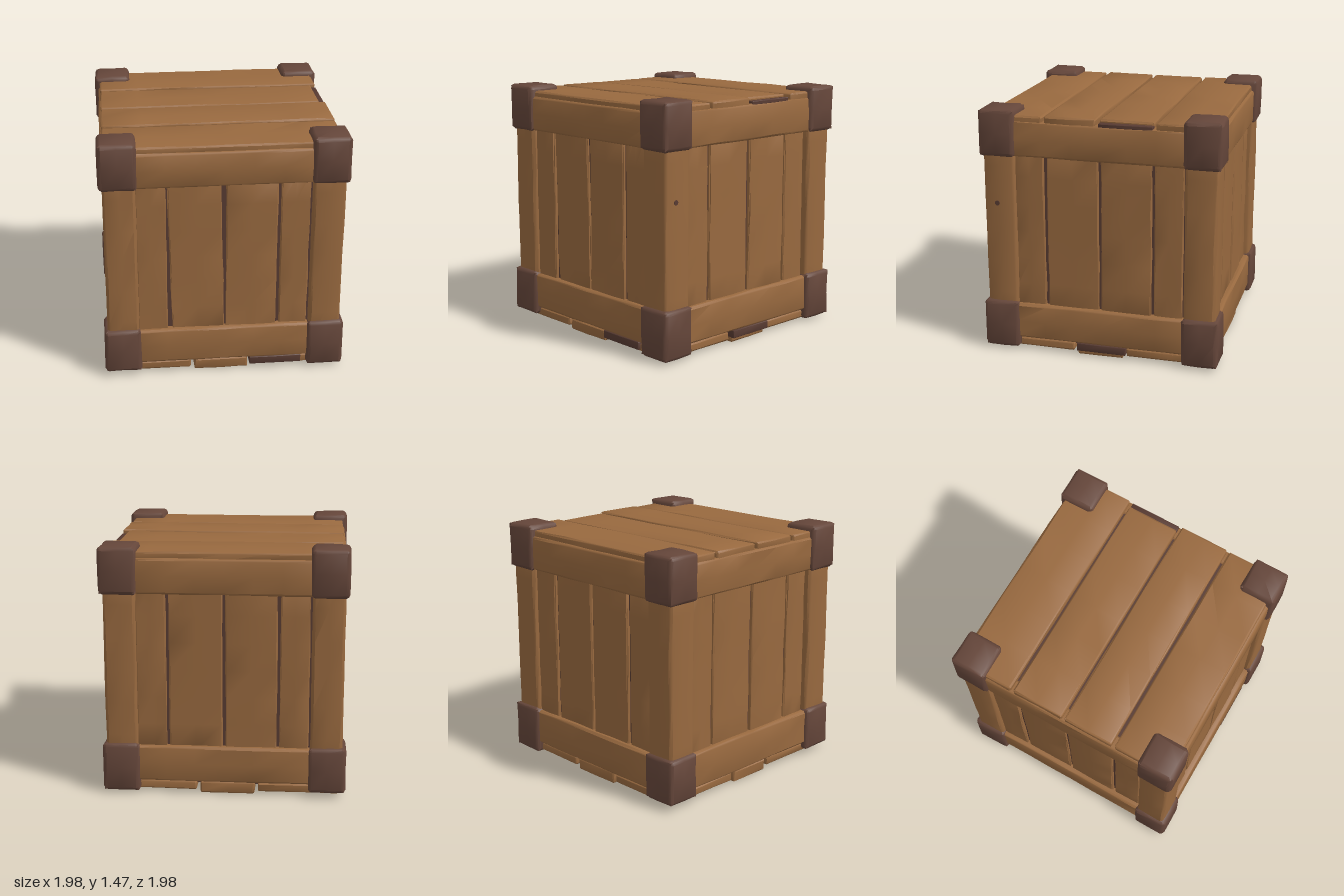
import * as THREE from 'three';
import { toCreasedNormals } from 'three/addons/utils/BufferGeometryUtils.js';

const mat = (name, color) => new THREE.MeshStandardMaterial({ name, color });

// Repeatable noise in -1..1 from a position, so shared corners move together.
const noise = (x, y, z, s) => {
  const v = Math.sin(x * 127.1 + y * 311.7 + z * 74.7 + s * 19.19) * 43758.5453;
  return (v - Math.floor(v)) * 2 - 1;
};

// Box with softened edges and slightly worn, uneven sides.
function wornBox(size, bevel, wear, seed) {
  const segs = size.map((s) => (s > 0.7 ? 8 : s > 0.15 ? 4 : 3));
  const geo = new THREE.BoxGeometry(1, 1, 1, ...segs);
  const pos = geo.attributes.position;
  for (let i = 0; i < pos.count; i++) {
    const grid = [0, 1, 2].map((a) => Math.round((pos.getComponent(i, a) + 0.5) * segs[a]));
    const ext = grid.map((g, a) => (g === 0 ? -1 : g === segs[a] ? 1 : 0));
    const onEdge = ext.filter((e) => e !== 0).length > 1;
    const p = grid.map((g, a) => {
      const h = size[a] / 2;
      if (ext[a]) return ext[a] * (h - (onEdge ? bevel * 0.35 : 0));
      return -h + bevel + ((g - 1) / Math.max(1, segs[a] - 2)) * (2 * h - 2 * bevel);
    });
    const n = noise(grid[0], grid[1], grid[2], seed);
    p.forEach((v, a) => {
      if (ext[a]) v -= ext[a] * wear * (0.5 + 0.5 * n);
      pos.setComponent(i, a, v);
    });
  }
  return toCreasedNormals(geo, 0.7);
}

export function createModel() {
  const wood = mat('brown wood', 0x98693f);
  const iron = mat('dark brown corner', 0x65463a);
  const shade = mat('dark gap', 0x583b32);

  const model = new THREE.Group();
  model.name = 'woodenCrate';
  const crate = new THREE.Group();
  crate.name = 'crateBody';
  crate.rotation.y = -0.705;
  model.add(crate);

  let seed = 1;
  // Adds a board given by its lower and upper limits on each axis.
  const board = (parent, name, material, x, y, z, bevel = 0.012, wear = 0.004) => {
    const axes = [x, y, z];
    const mesh = new THREE.Mesh(wornBox(axes.map(([a, b]) => b - a), bevel, wear, seed++), material);
    mesh.position.set(...axes.map(([a, b]) => (a + b) / 2));
    mesh.name = name;
    parent.add(mesh);
    return mesh;
  };

  // Dark core seen through the gaps
  const core = new THREE.Mesh(new THREE.BoxGeometry(1.28, 1.345, 1.28), shade);
  core.position.y = 0.7275;
  core.name = 'innerCore';
  crate.add(core);

  // Four sides: upright planks between a top and a bottom rail
  const seams = [-0.515, -0.325, 0.0, 0.315, 0.5];
  for (let k = 0; k < 4; k++) {
    const side = new THREE.Group();
    side.name = 'side' + (k + 1);
    side.rotation.y = (k * Math.PI) / 2;
    crate.add(side);
    for (let i = 0; i < 4; i++) {
      const plank = board(side, 'wallPlank', wood, [seams[i] + 0.006, seams[i + 1] - 0.006],
        [0.25, 1.25], [0.61, 0.664 - 0.004 * (i % 2)], 0.01, 0.006);
      // The second seam leans a little
      if (k === 0 && i === 1) plank.rotation.z = 0.02;
    }
    board(side, 'topRail', wood, [-0.52, 0.52], [1.2, 1.41], [0.6, 0.692], 0.015);
    board(side, 'bottomRail', wood, [-0.52, 0.52], [0.075, 0.295], [0.6, 0.692], 0.015);
  }

  // Corner posts with a cap at each end
  for (const sx of [-1, 1]) for (const sz of [-1, 1]) {
    const span = (s, a, b) => (s > 0 ? [a, b] : [-b, -a]);
    board(crate, 'cornerPost', wood, span(sx, 0.5, 0.69), [0.15, 1.35], span(sz, 0.5, 0.69), 0.018);
    for (const [lo, hi] of [[sx > 0 ? 0.012 : 0.03, 0.31], [1.195, 1.475]])
      board(crate, 'cornerCap', iron, span(sx, 0.49, 0.712), [lo, hi], span(sz, 0.49, 0.712), 0.025);
  }

  // Lid planks; one is short and shows the dark end beneath
  const lid = [-0.682, -0.325, 0.008, 0.327, 0.682];
  for (let i = 0; i < 4; i++)
    board(crate, 'lidPlank', wood, [-0.682, i === 1 ? 0.65 : 0.682], [1.385, 1.447 - 0.004 * (i % 2)],
      [lid[i] + 0.007, lid[i + 1] - 0.007], 0.012);
  board(crate, 'lidPlankEnd', shade, [0.6, 0.684], [1.4, 1.425], [-0.315, 0], 0.005, 0.001);

  // Floor boards in a grid of nine
  const floorX = [-0.68, -0.19, 0.15, 0.68];
  const floorZ = [-0.68, -0.15, 0.15, 0.68];
  for (let i = 0; i < 3; i++) for (let j = 0; j < 3; j++) {
    const middle = i === 1 || j === 1;
    board(crate, 'floorBoard', wood, [floorX[i] + 0.008, floorX[i + 1] - 0.008],
      [middle ? 0.0 : 0.018, 0.075], [floorZ[j] + 0.008, floorZ[j + 1] - 0.008], 0.012);
  }
  // Dark notches under the bottom rails
  board(crate, 'floorNotch', shade, [0.6, 0.69], [0.03, 0.08], [-0.16, 0.14], 0.005, 0.001);
  board(crate, 'floorNotch', shade, [0.15, 0.46], [0.03, 0.08], [0.6, 0.69], 0.005, 0.001);

  // Knot in the front post
  const knot = new THREE.Mesh(new THREE.CylinderGeometry(0.015, 0.015, 0.006, 10), shade);
  knot.rotation.z = -Math.PI / 2;
  knot.position.set(0.689, 0.915, 0.61);
  knot.name = 'woodKnot';
  crate.add(knot);

  return model;
}
